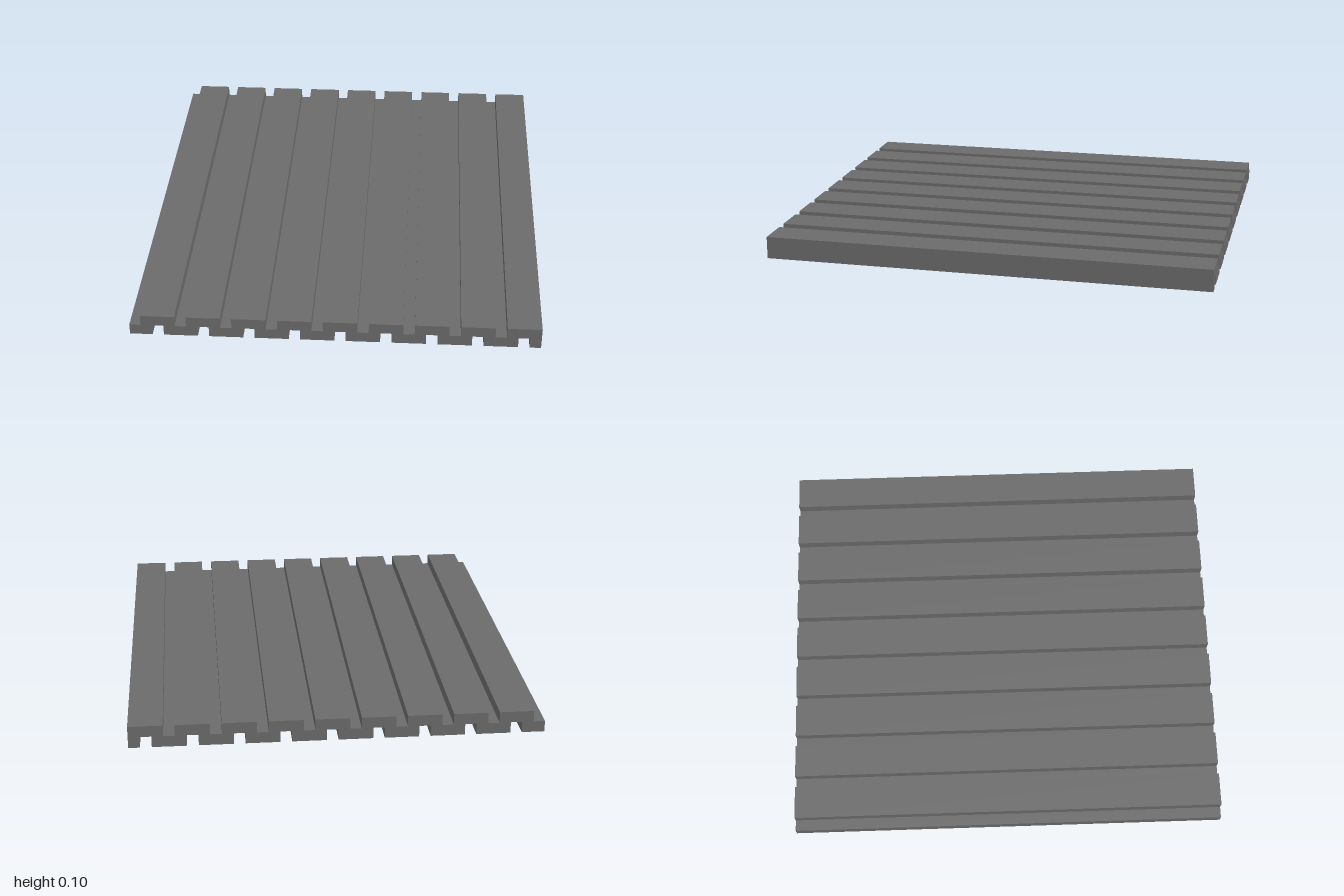
import * as THREE from 'three';

const RIBS = 9, PITCH = 0.2, LEFT = -0.9, MID = 0.05, TOP = 0.1, LENGTH = 2;

// Cross-section of interlocking upper slats and lower feet
function panelProfile() {
  const upper = [], lower = [];
  for (let i = 0; i < RIBS; i++) {
    const x = LEFT + i * PITCH;
    // groove floor, then raised slat
    upper.push([x, MID], [x + 0.05, MID], [x + 0.05, TOP], [x + PITCH, TOP]);
    // channel cut into the underside
    lower.push([x + 0.1, 0], [x + 0.1, MID], [x + 0.15, MID], [x + 0.15, 0]);
  }
  const outline = [[LEFT, 0], ...lower, [LEFT + RIBS * PITCH, 0], ...upper.reverse()];
  return new THREE.Shape(outline.map(([x, y]) => new THREE.Vector2(x, y)));
}

export function createModel() {
  const group = new THREE.Group();
  group.name = 'slattedPanel';
  const grey = new THREE.MeshStandardMaterial({ color: 0x6b6b6b });
  grey.name = 'dark grey';

  // Profile run from back to front
  const geometry = new THREE.ExtrudeGeometry(panelProfile(), { depth: LENGTH, bevelEnabled: false });
  geometry.translate(0, 0, -LENGTH / 2);
  const panel = new THREE.Mesh(geometry, grey);
  panel.name = 'ribbedPanel';
  group.add(panel);
  return group;
}
